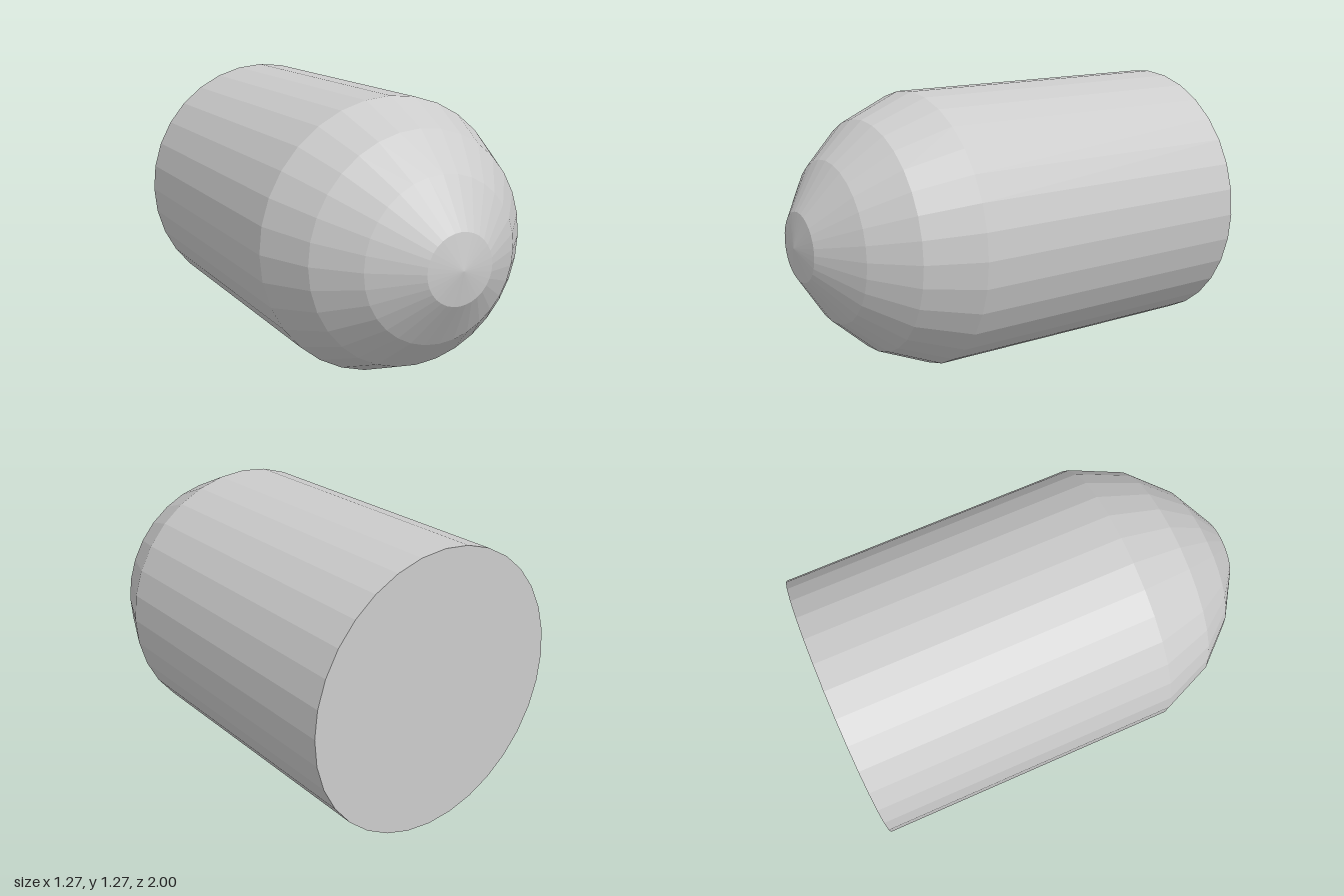
import * as THREE from 'three';

const RADIUS = 0.633;
const SIDES = 32;

export function createModel() {
  const model = new THREE.Group();
  model.name = 'roundNosedCylinder';

  // Faceted profile as [radius, z], from the closed flat back to the nose tip
  const profile = [
    [0, -1], [RADIUS, -1], [RADIUS, 0.408],
    [0.527, 0.657], [0.367, 0.834], [0.157, 0.974], [0, 1],
  ].map(([r, z]) => new THREE.Vector2(r, z));

  // Turned body, laid down so that the nose faces +z
  const geometry = new THREE.LatheGeometry(profile, SIDES);
  geometry.rotateX(Math.PI / 2);
  geometry.translate(0, RADIUS, 0);

  const body = new THREE.Mesh(
    geometry,
    new THREE.MeshStandardMaterial({ color: 0xcccccc, flatShading: true }),
  );
  body.name = 'body';
  model.add(body);
  return model;
}
